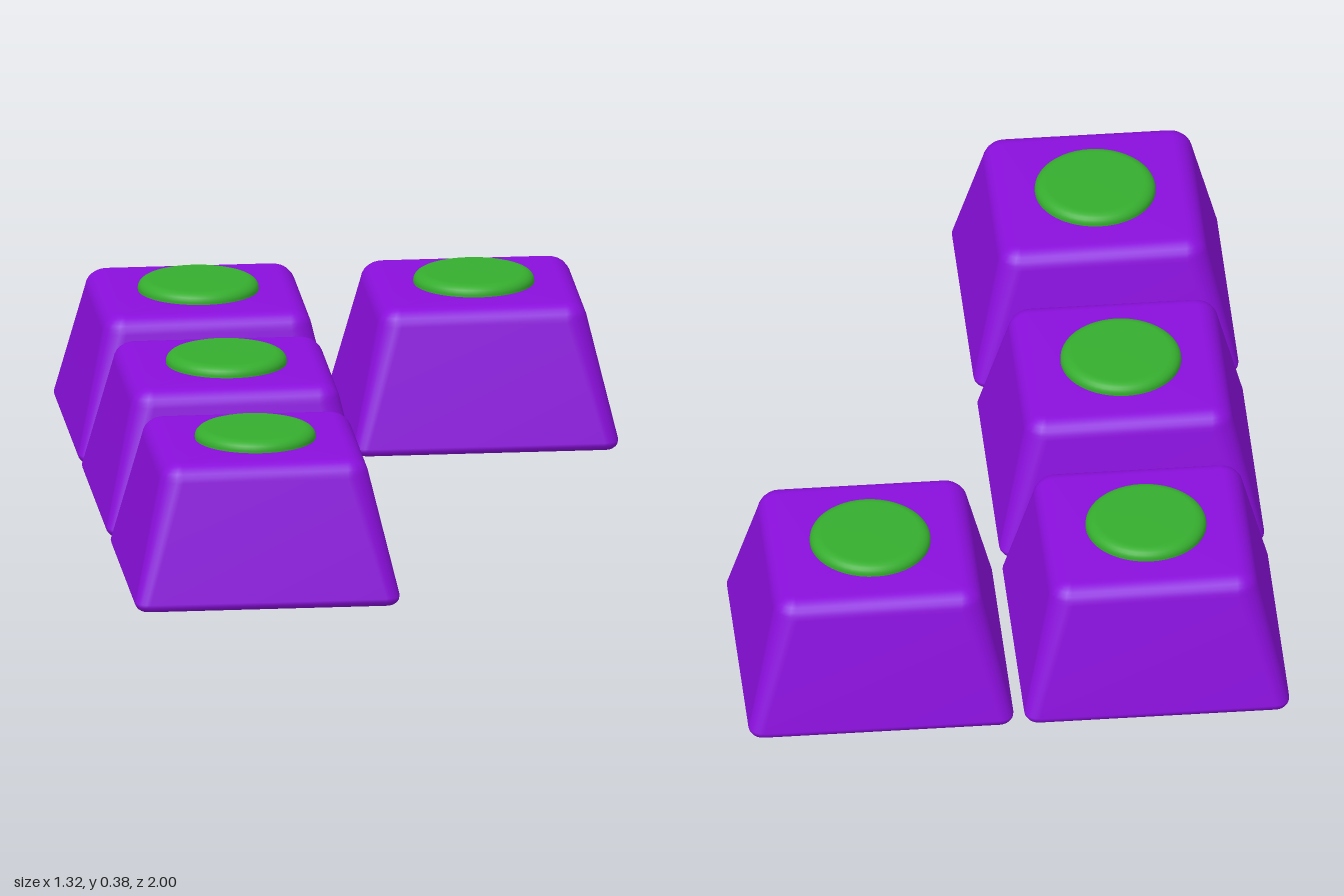
import * as THREE from 'three';

const purple = new THREE.MeshStandardMaterial({ color: 0x8a0fdc });
const green = new THREE.MeshStandardMaterial({ color: 0x35ad2e });

const CORNER_STEPS = 5;

// Points of a rounded square, running from +x towards +z
function roundedSquare(half, radius, y) {
  const points = [];
  for (let corner = 0; corner < 4; corner++) {
    const mid = (corner + 0.5) * Math.PI / 2;
    const cx = Math.sign(Math.cos(mid)) * (half - radius);
    const cz = Math.sign(Math.sin(mid)) * (half - radius);
    for (let i = 0; i <= CORNER_STEPS; i++) {
      const a = (corner + i / CORNER_STEPS) * Math.PI / 2;
      points.push(cx + radius * Math.cos(a), y, cz + radius * Math.sin(a));
    }
  }
  return points;
}

// Tapered block with soft edges, lofted from rounded squares
function blockGeometry() {
  const sections = []; // [half width, corner radius, height]
  const bottom = 0.022, top = 0.042, height = 0.352;
  for (let i = 0; i <= 4; i++) {
    const a = i / 4 * Math.PI / 2;
    const inset = bottom * (1 - Math.sin(a));
    sections.push([0.323 - inset, 0.036 - inset, 0.003 + bottom * (1 - Math.cos(a))]);
  }
  for (let i = 0; i <= 6; i++) {
    const a = i / 6 * Math.PI / 2;
    const inset = top * (1 - Math.cos(a)) + 0.008 * i / 6;
    sections.push([0.256 - inset, 0.055 - inset, height - top * (1 - Math.sin(a))]);
  }

  const positions = sections.flatMap(([half, radius, y]) => roundedSquare(half, radius, y));
  const n = 4 * (CORNER_STEPS + 1);
  const last = (sections.length - 1) * n;
  const indices = [];
  for (let s = 0; s < sections.length - 1; s++) {
    for (let i = 0; i < n; i++) {
      const a = s * n + i, b = s * n + (i + 1) % n;
      indices.push(a, a + n, b, b, a + n, b + n);
    }
  }
  // Flat underside and top
  const bottomCentre = positions.length / 3;
  positions.push(0, 0.003, 0, 0, height, 0);
  for (let i = 0; i < n; i++) {
    const j = (i + 1) % n;
    indices.push(bottomCentre, i, j, bottomCentre + 1, last + j, last + i);
  }

  const geometry = new THREE.BufferGeometry();
  geometry.setAttribute('position', new THREE.Float32BufferAttribute(positions, 3));
  geometry.setIndex(indices);
  geometry.computeVertexNormals();
  return geometry;
}

// Low round button with a softened rim
function buttonGeometry() {
  const profile = [new THREE.Vector2(0.147, 0.335)];
  for (let i = 0; i <= 6; i++) {
    const a = i / 6 * Math.PI / 2;
    profile.push(new THREE.Vector2(0.119 + 0.028 * Math.cos(a), 0.357 + 0.022 * Math.sin(a)));
  }
  profile.push(new THREE.Vector2(0, 0.38));
  return new THREE.LatheGeometry(profile, 48);
}

export function createModel() {
  const model = new THREE.Group();
  model.name = 'buttonBlocks';
  const block = blockGeometry();
  const button = buttonGeometry();

  // Three blocks in a column, one beside the rear block
  const places = [[-0.336, -0.677], [-0.336, -0.008], [-0.336, 0.677], [0.336, -0.677]];
  places.forEach(([x, z], i) => {
    const unit = new THREE.Group();
    unit.name = `unit${i + 1}`;
    const body = new THREE.Mesh(block, purple);
    body.name = 'block';
    const cap = new THREE.Mesh(button, green);
    cap.name = 'button';
    unit.add(body, cap);
    unit.position.set(x, 0, z);
    model.add(unit);
  });
  return model;
}
